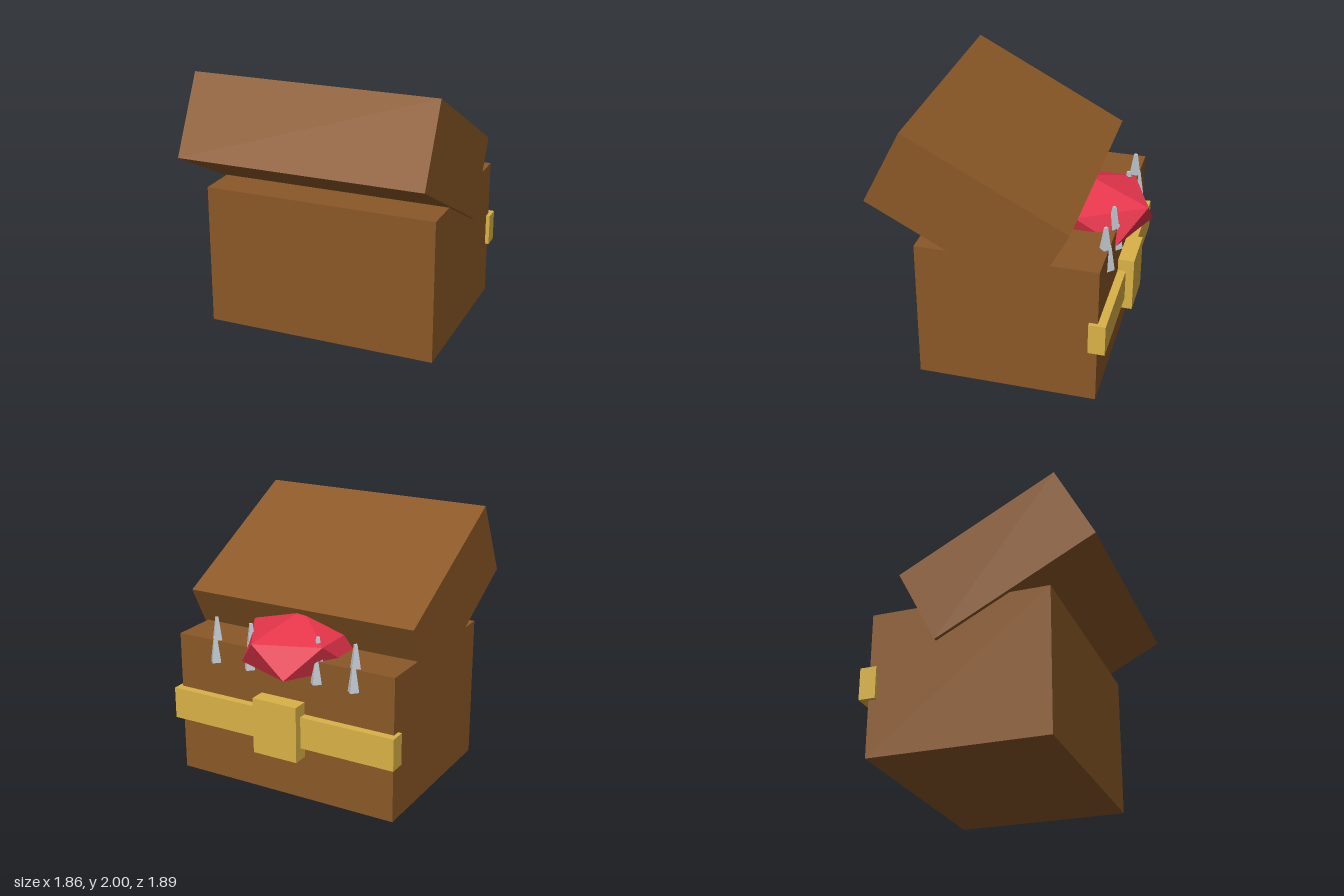
import * as THREE from 'three';

export function createModel() {
  const wood = new THREE.MeshStandardMaterial({ name: 'wood', color: 0x8b5827 });
  const gold = new THREE.MeshStandardMaterial({ name: 'gold', color: 0xdab247 });
  const red = new THREE.MeshStandardMaterial({ name: 'tongueRed', color: 0xe6354b });
  const ivory = new THREE.MeshStandardMaterial({ name: 'toothGrey', color: 0xc2cad2 });
  for (const m of [wood, gold, red, ivory]) m.flatShading = true;

  const model = new THREE.Group();
  model.name = 'toothedChest';

  const add = (name, geometry, material, x, y, z) => {
    const mesh = new THREE.Mesh(geometry, material);
    mesh.name = name;
    mesh.position.set(x, y, z);
    model.add(mesh);
    return mesh;
  };
  const box = (w, h, d) => new THREE.BoxGeometry(w, h, d);

  // Chest body and the tilted lid
  add('body', box(1.8, 1.1, 1.35), wood, 0, 0.55, -0.073);
  add('lid', box(1.86, 0.638, 1.342), wood, 0, 1.407, 0.202).rotation.x = -0.48;

  // Metal strap with its clasp plate
  add('strap', box(1.86, 0.243, 0.125), gold, 0, 0.553, -0.7475);
  add('clasp', box(0.365, 0.43, 0.2), gold, 0, 0.554, -0.77);

  // Faceted tongue: a squashed icosahedron with one corner pointing up
  const tongue = new THREE.IcosahedronGeometry(1, 0);
  tongue.rotateZ(-Math.atan(2 / (1 + Math.sqrt(5))));
  tongue.scale(0.47, 0.255, 0.57);
  add('tongue', tongue, red, 0, 1.102, -0.46);

  // Two rows of four-sided teeth
  const tooth = new THREE.CylinderGeometry(0.015, 0.046, 0.2, 4);
  for (const x of [-0.58, -0.28, 0.28, 0.58]) {
    add('upperTooth', tooth, ivory, x, 1.175, -0.72);
    add('lowerTooth', tooth, ivory, x, 1.033, -0.748);
  }
  return model;
}
